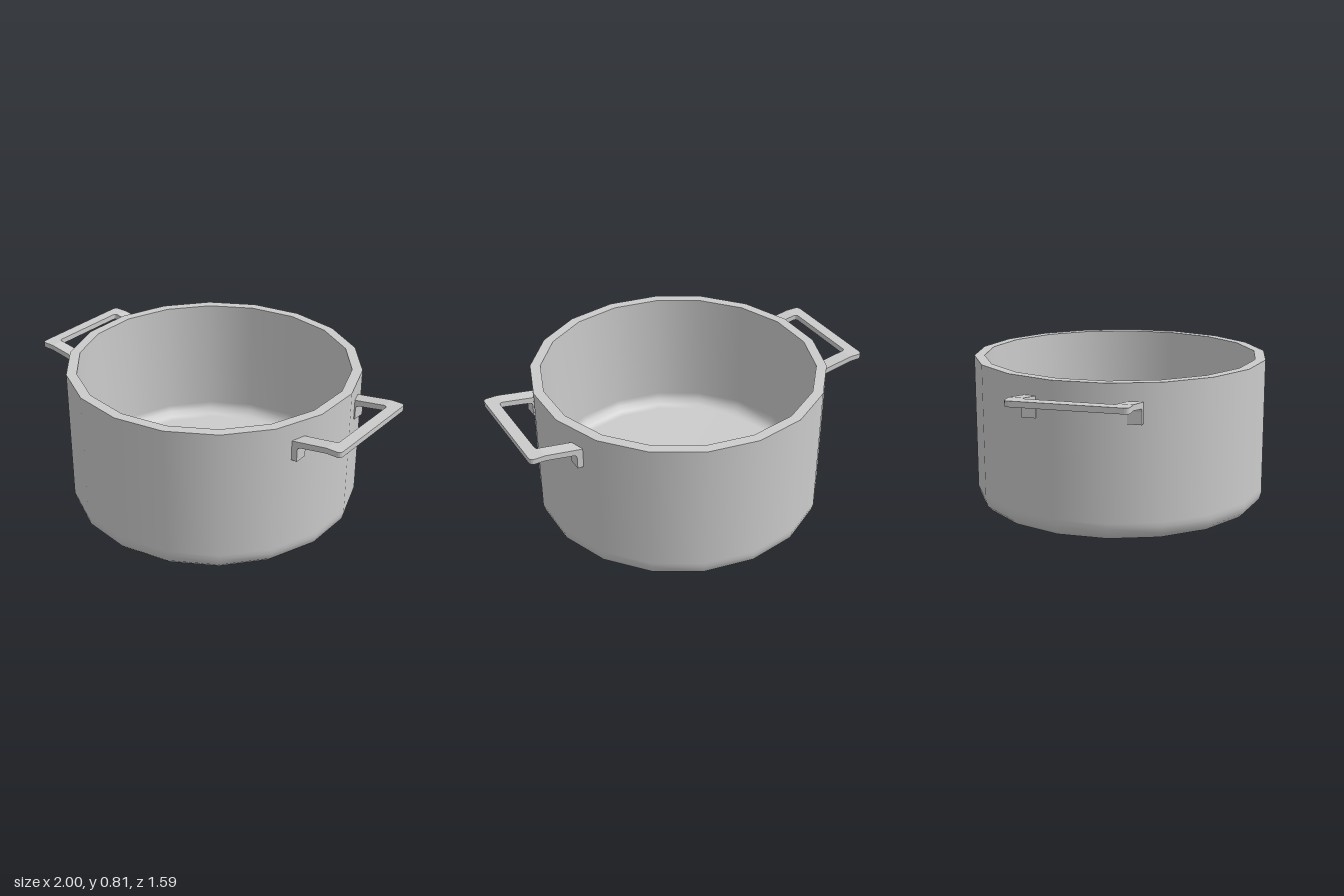
import * as THREE from 'three';

const SIDES = 18, R = 0.794, RI = 0.739, H = 0.81, FLOOR = 0.09;
const material = new THREE.MeshStandardMaterial({ color: 0xcccccc });

function addMesh(parent, name, geometry) {
  const mesh = new THREE.Mesh(geometry, material);
  mesh.name = name;
  parent.add(mesh);
  return mesh;
}

const lathe = (points) =>
  new THREE.LatheGeometry(points.map(([x, y]) => new THREE.Vector2(x, y)), SIDES);

// Rounded corner between floor and wall, from floor to wall
function corner(radius, floorY, r) {
  return [0, 1, 2, 3].map((i) => {
    const a = (i / 3) * Math.PI / 2;
    return [radius - r + r * Math.sin(a), floorY + r - r * Math.cos(a)];
  });
}

function createPot() {
  const pot = new THREE.Group();
  pot.name = 'pot';
  addMesh(pot, 'outerWall', lathe([[0, 0], [R - 0.09, 0], ...corner(R, 0, 0.075), [R, 0.1], [R, H]]));
  addMesh(pot, 'rim', lathe([[R, H], [RI, H]]));
  addMesh(pot, 'innerWall', lathe([[RI, H], ...corner(RI, FLOOR, 0.07).reverse(), [0, FLOOR]]));
  return pot;
}

// Handle on the +x side: two bent arms and a flat grip bar
function createHandle(name) {
  const handle = new THREE.Group();
  handle.name = name;
  const zOut = 0.307, zIn = 0.233, bend = 0.92, top = 0.747, thick = 0.03;

  // Side profile of an arm: mounting tab, bent corner and rising strip
  const side = new THREE.Shape();
  side.moveTo(0.722, 0.607);
  side.lineTo(0.754, 0.607);
  side.lineTo(0.754, 0.672);
  side.quadraticCurveTo(0.755, 0.689, 0.772, 0.691);
  side.lineTo(bend, top - thick);
  side.lineTo(bend, top);
  side.lineTo(0.722, 0.715);
  side.closePath();
  for (const z of [zIn, -zOut]) {
    const arm = new THREE.ExtrudeGeometry(side, { depth: zOut - zIn, bevelEnabled: false, curveSegments: 3 });
    addMesh(handle, 'handleArm', arm.translate(0, 0, z));
  }

  // Plan of the grip, with rounded outer corners and filleted inner ones
  const xEnd = 1, xIn = 0.938, r = 0.025, f = 0.02;
  const plan = new THREE.Shape();
  plan.moveTo(bend, -zOut);
  plan.lineTo(xEnd - r, -zOut);
  plan.quadraticCurveTo(xEnd, -zOut, xEnd, -zOut + r);
  plan.lineTo(xEnd, zOut - r);
  plan.quadraticCurveTo(xEnd, zOut, xEnd - r, zOut);
  plan.lineTo(bend, zOut);
  plan.lineTo(bend, zIn);
  plan.quadraticCurveTo(xIn, zIn, xIn, zIn - f);
  plan.lineTo(xIn, -zIn + f);
  plan.quadraticCurveTo(xIn, -zIn, bend, -zIn);
  plan.closePath();
  const grip = new THREE.ExtrudeGeometry(plan, { depth: thick, bevelEnabled: false, curveSegments: 4 });
  addMesh(handle, 'handleGrip', grip.rotateX(Math.PI / 2).translate(0, top, 0));
  return handle;
}

export function createModel() {
  const model = new THREE.Group();
  model.name = 'cookingPot';
  const right = createHandle('rightHandle');
  right.rotation.y = Math.PI;
  model.add(createPot(), createHandle('leftHandle'), right);
  return model;
}
